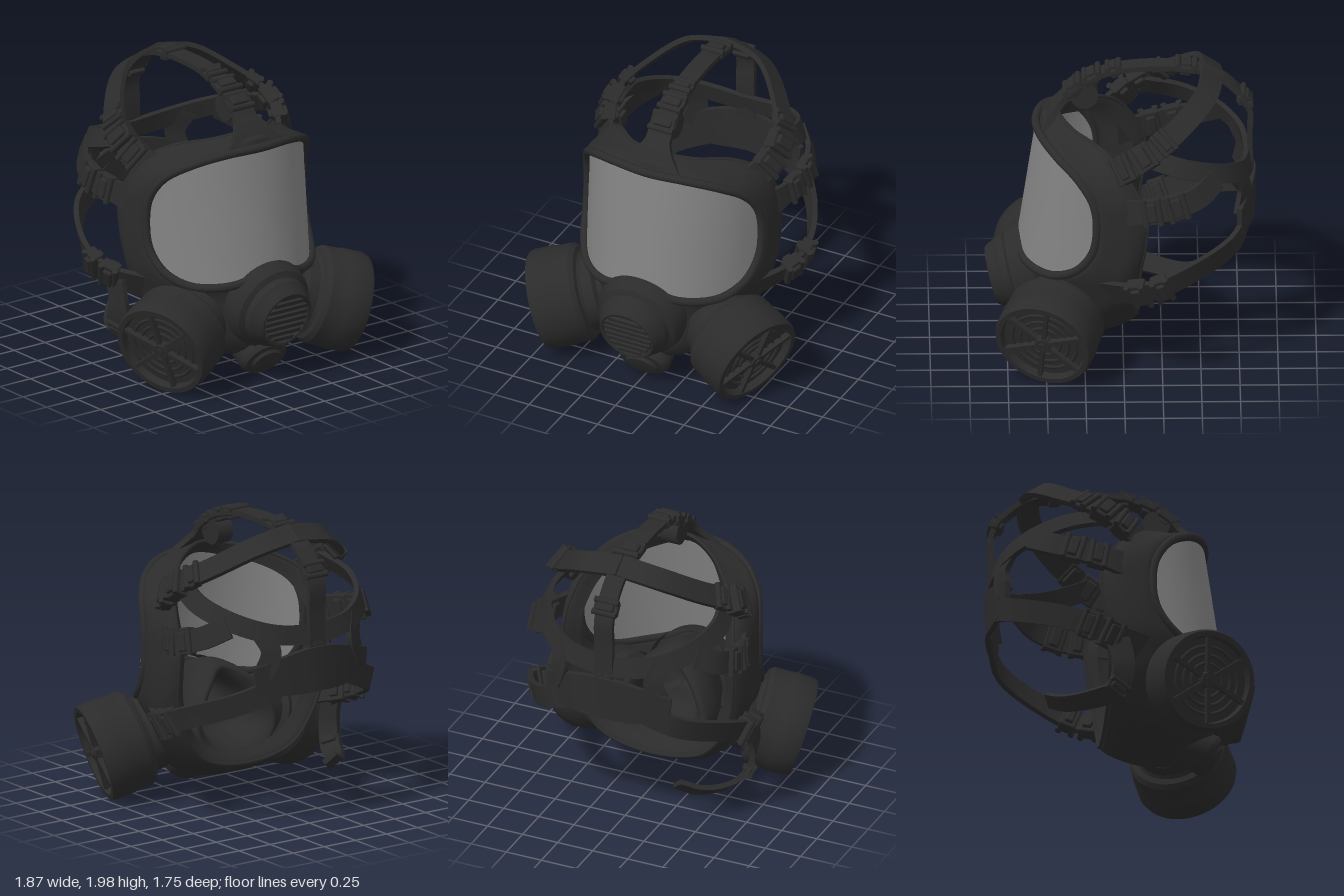
import * as THREE from 'three';
import { toCreasedNormals } from 'three/addons/utils/BufferGeometryUtils.js';
import { RoundedBoxGeometry } from 'three/addons/geometries/RoundedBoxGeometry.js';

const V = (x, y, z) => new THREE.Vector3(x, y, z);
const rubber = new THREE.MeshStandardMaterial({ color: 0x2b2b2b, side: THREE.DoubleSide });
rubber.name = 'black rubber';
const glass = new THREE.MeshStandardMaterial({ color: 0x828282, side: THREE.DoubleSide });
glass.name = 'grey lens';

function add(parent, name, geo, mat = rubber) {
  const mesh = new THREE.Mesh(geo, mat);
  mesh.name = name;
  parent.add(mesh);
  return mesh;
}

// Skin between closed rings that have equal point counts
function loft(rings, crease = 0.9) {
  const n = rings[0].length, index = [];
  for (let j = 0; j < rings.length - 1; j++) {
    for (let i = 0; i < n; i++) {
      const a = j * n + i, b = j * n + (i + 1) % n;
      index.push(a, a + n, b, b, a + n, b + n);
    }
  }
  const geo = new THREE.BufferGeometry().setFromPoints(rings.flat());
  geo.setIndex(index);
  return toCreasedNormals(geo, crease);
}

// Closed symmetric curve from its +x half, top centre to bottom centre
function mirrorLoop(half) {
  const other = half.slice(1, -1).reverse().map(p => V(-p.x, p.y, p.z));
  return new THREE.CatmullRomCurve3([...half, ...other], true);
}
const sample = (curve, n) => Array.from({ length: n }, (_, i) => curve.getPoint(i / n));

// Smooth skin through several symmetric loops
function skin(halves, n, steps) {
  const loops = halves.map(h => sample(mirrorLoop(h), n));
  const columns = loops[0].map((_, i) => new THREE.CatmullRomCurve3(loops.map(l => l[i])));
  return loft(Array.from({ length: steps + 1 }, (_, j) => columns.map(c => c.getPoint(j / steps))));
}

// Local axes on a strap, facing out from the head
function strapFrame(curve, u) {
  const p = curve.getPointAt(u), t = curve.getTangentAt(u);
  const out = V(p.x, (p.y - 1.1) * 0.7, p.z + 0.2);
  out.addScaledVector(t, -out.dot(t)).normalize();
  return { p, t, out, across: t.clone().cross(out) };
}

function strap(parent, name, pts, width, thick = 0.034) {
  const curve = new THREE.CatmullRomCurve3(pts.map(p => V(...p)));
  const w = typeof width === 'function' ? width : () => width;
  const rings = [], steps = 32;
  for (let i = 0; i <= steps; i++) {
    const u = i / steps, f = strapFrame(curve, u);
    const ring = [[1, 1], [-1, 1], [-1, -1], [1, -1]].map(([a, b]) => f.p.clone()
      .addScaledVector(f.across, a * w(u) / 2).addScaledVector(f.out, b * thick / 2));
    const cap = ring.map(() => f.p.clone());
    if (i === 0) rings.push(cap);
    rings.push(ring);
    if (i === steps) rings.push(cap);
  }
  add(parent, name, loft(rings, 0.6));
  return curve;
}

// Strap adjuster: plate, raised keeper and two cross bars
function buckle(parent, curve, u, w, len, depth = 0.05) {
  const g = new THREE.Group();
  g.name = 'buckle';
  add(g, 'bucklePlate', new RoundedBoxGeometry(w, len, depth, 2, 0.012));
  add(g, 'buckleKeeper', new RoundedBoxGeometry(w * 0.72, len * 0.5, depth + 0.05, 2, 0.012));
  for (const s of [-1, 1]) {
    const bar = add(g, 'buckleBar', new THREE.CylinderGeometry(0.02, 0.02, w, 12));
    bar.rotation.z = Math.PI / 2;
    bar.position.set(0, s * len * 0.4, depth * 0.5);
  }
  const f = strapFrame(curve, u);
  g.applyMatrix4(new THREE.Matrix4().makeBasis(f.across, f.t, f.out).setPosition(f.p));
  parent.add(g);
}

const lathe = (pts, seg = 48) =>
  toCreasedNormals(new THREE.LatheGeometry(pts.map(p => new THREE.Vector2(...p)), seg), 0.5);

// Curved lens surface, leaning forward at the bottom
const lensZ = (x, y, w = 0.64) =>
  (0.69 - 0.15 * (y - 0.72)) * Math.sqrt(Math.max(0, 1 - (x / w) ** 2));

function buildFacepiece(root) {
  const outline = [[0, 1.545], [0.25, 1.535], [0.43, 1.485], [0.555, 1.39], [0.605, 1.25], [0.615, 1.08],
    [0.608, 0.92], [0.57, 0.79], [0.48, 0.72], [0.33, 0.715], [0.2, 0.74], [0.1, 0.79], [0, 0.805]];
  const lensEdge = outline.map(([x, y]) => V(x, y, lensZ(x, y)));
  const grown = (kx, ky, w, dz) => outline.map(([x, y]) => {
    const X = x * kx, Y = 1.12 + (y - 1.12) * ky;
    return V(X, Y, lensZ(X, Y, w) + dz);
  });
  const middle = [[0, 1.62, 0.52], [0.25, 1.595, 0.44], [0.45, 1.525, 0.28], [0.59, 1.42, 0.11], [0.65, 1.27, 0.04],
    [0.66, 1.08, 0.03], [0.66, 0.9, 0.03], [0.64, 0.72, 0.08], [0.56, 0.55, 0.2], [0.45, 0.42, 0.36],
    [0.36, 0.33, 0.5], [0.22, 0.25, 0.58], [0, 0.2, 0.6]].map(p => V(...p));
  const cheek = [[0, 1.64, 0.47], [0.23, 1.605, 0.39], [0.43, 1.54, 0.21], [0.57, 1.45, 0.06], [0.63, 1.29, -0.03],
    [0.65, 1.1, -0.06], [0.65, 0.9, -0.06], [0.63, 0.73, -0.03], [0.58, 0.54, 0.05], [0.47, 0.36, 0.12],
    [0.36, 0.24, 0.18], [0.2, 0.16, 0.22], [0, 0.14, 0.24]].map(p => V(...p));
  const rim = [[0, 1.65, 0.42], [0.22, 1.61, 0.33], [0.4, 1.555, 0.15], [0.52, 1.46, 0.02], [0.58, 1.3, -0.09],
    [0.6, 1.15, -0.15], [0.6, 0.95, -0.14], [0.58, 0.78, -0.11], [0.54, 0.62, -0.1], [0.47, 0.48, -0.09],
    [0.36, 0.36, -0.09], [0.2, 0.3, -0.09], [0, 0.28, -0.09]].map(p => V(...p));
  const seal = rim.map(p => V(p.x * 0.85, 0.95 + (p.y - 0.95) * 0.87, p.z + 0.07));
  add(root, 'facepiece', skin([lensEdge, grown(1.06, 1.1, 0.68, -0.03), middle, cheek, rim, seal], 96, 30));
  add(root, 'sealBead', new THREE.TubeGeometry(mirrorLoop(rim), 120, 0.013, 8, true));
  add(root, 'lensFrame', new THREE.TubeGeometry(mirrorLoop(grown(1.032, 1.058, 0.66, 0)), 140, 0.028, 10, true));

  // Lens, as rings shrinking to the middle
  const edge = sample(mirrorLoop(lensEdge), 96);
  add(root, 'lens', loft([1, 0.93, 0.85, 0.7, 0.5, 0.3, 0.12, 0].map(k => edge.map(p => {
    const x = p.x * k, y = 1.12 + (p.y - 1.12) * k;
    return V(x, y, lensZ(x, y));
  }))), glass);

  // Inner cup over nose and mouth
  const cup = [[0, 0.86, 0.2], [0.14, 0.8, 0.12], [0.26, 0.66, 0.06], [0.31, 0.5, 0.04],
    [0.25, 0.37, 0.02], [0.12, 0.31, 0.02], [0, 0.3, 0.02]];
  const ring = (k, dz) => cup.map(([x, y, z]) => V(x * k, 0.56 + (y - 0.56) * k, z + dz));
  add(root, 'noseCup', skin([ring(0.8, 0.42), ring(1.1, 0.14), ring(1, 0), ring(0.8, 0.04), ring(0.5, 0.28), ring(0.02, 0.34)], 48, 24));
}

function buildVoicePort(root) {
  // Tilted slightly down, origin at the middle of the grille
  const port = new THREE.Group();
  port.name = 'voicePort';
  port.position.set(0, 0.475, 0.825);
  port.rotation.x = 0.25;
  root.add(port);
  add(port, 'voiceHousing', lathe([[0.3, -0.36], [0.3, -0.19], [0.28, -0.125], [0.245, -0.105], [0.24, -0.06],
    [0.22, -0.035], [0.208, 0.0], [0.19, 0.024], [0.175, 0.02], [0.168, -0.005], [0, -0.005]])).rotation.x = Math.PI / 2;
  for (let i = -3; i <= 3; i++) {
    const y = i * 0.044 - 0.015;
    const slat = add(port, 'voiceSlat', new THREE.BoxGeometry(2 * Math.sqrt(0.168 ** 2 - y * y), 0.026, 0.03));
    slat.position.set(0, y, 0.004);
  }
  // Outlet valve under the voice port
  const valve = add(root, 'outletValve', lathe([[0.13, -0.16], [0.135, 0.03], [0.12, 0.06], [0.09, 0.065],
    [0.08, 0.085], [0.05, 0.09], [0, 0.09]]));
  valve.scale.x = 1.3;
  valve.rotation.x = Math.PI / 2 + 0.5;
  valve.position.set(0, 0.165, 0.57);
}

function buildFilter(root, s) {
  const g = new THREE.Group();
  g.name = s > 0 ? 'leftFilter' : 'rightFilter';
  g.position.set(s * 0.79, 0.33, 0.53);
  g.quaternion.setFromUnitVectors(V(0, 1, 0), V(s * 0.88, -0.3, 0.33).normalize());
  root.add(g);
  add(g, 'canister', lathe([[0.2, -0.54], [0.21, -0.44], [0.25, -0.42], [0.25, -0.35], [0.265, -0.33], [0.3, -0.32],
    [0.322, -0.29], [0.325, -0.17], [0.33, -0.16], [0.33, -0.03], [0.318, 0], [0.285, 0], [0.275, -0.05], [0, -0.05]]));
  for (const r of [0.11, 0.165, 0.22]) {
    add(g, 'grilleRing', new THREE.TorusGeometry(r, 0.012, 6, 40).rotateX(Math.PI / 2)).position.y = -0.045;
  }
  for (let i = 0; i < 6; i++) {
    const a = i * Math.PI / 3 + 0.5;
    const spoke = add(g, 'grilleSpoke', new THREE.BoxGeometry(0.25, 0.04, 0.028));
    spoke.position.set(Math.cos(a) * 0.155, -0.025, -Math.sin(a) * 0.155);
    spoke.rotation.y = a;
  }
  add(g, 'grilleHub', new THREE.CylinderGeometry(0.055, 0.065, 0.06, 6)).position.y = -0.025;
  add(g, 'hubCap', new THREE.CylinderGeometry(0.025, 0.025, 0.02, 16)).position.y = 0.005;
}

function buildHarness(root) {
  const h = new THREE.Group();
  h.name = 'harness';
  root.add(h);
  // Forehead tab and centre strap over the crown
  strap(h, 'foreheadTab', [[0, 1.58, 0.5], [0, 1.66, 0.45], [0, 1.76, 0.37], [0, 1.86, 0.3]],
    u => 0.17 + 0.25 * Math.max(0, 1 - u * 1.8) ** 1.5, 0.04);
  const centre = strap(h, 'centreStrap', [[0, 1.78, 0.36], [0, 1.88, 0.22], [0, 1.94, 0.05], [0, 1.965, -0.2],
    [0, 1.94, -0.5], [0, 1.85, -0.68], [0, 1.66, -0.82], [0, 1.48, -0.82], [0, 1.2, -0.83]], 0.13);
  for (const [u, w, l] of [[0.03, 0.18, 0.13], [0.11, 0.17, 0.12], [0.19, 0.15, 0.09], [0.45, 0.16, 0.14], [0.7, 0.17, 0.1]]) {
    buckle(h, centre, u, w, l, 0.045);
  }
  const roll = add(h, 'strapRoll', new THREE.CylinderGeometry(0.09, 0.09, 0.12, 24));
  roll.rotation.z = Math.PI / 2;
  roll.position.set(0, 1.77, 0.25);
  // Plate behind the head
  strap(h, 'backPlate', [[-0.44, 1.05, -0.75], [-0.22, 1.07, -0.81], [0, 1.09, -0.84], [0.22, 1.07, -0.81], [0.44, 1.05, -0.75]],
    u => 0.18 + 0.12 * Math.sin(Math.PI * u), 0.036);

  for (const s of [1, -1]) {
    const side = pts => pts.map(([x, y, z]) => [s * x, y, z]);
    const flare = w => u => w * (1 + 0.3 * Math.max(0, 1 - u * 5));
    const upper = strap(h, 'upperStrap', side([[0.53, 1.41, 0.1], [0.6, 1.52, -0.04], [0.59, 1.63, -0.2],
      [0.47, 1.75, -0.38], [0.27, 1.88, -0.54], [0, 1.935, -0.58]]), flare(0.15));
    buckle(h, upper, 0.13, 0.19, 0.12, 0.08);
    buckle(h, upper, 0.25, 0.18, 0.14, 0.09);
    buckle(h, upper, 0.38, 0.17, 0.1);
    const mid = strap(h, 'middleStrap', side([[0.61, 1.2, 0.03], [0.66, 1.22, -0.1], [0.69, 1.26, -0.3],
      [0.65, 1.32, -0.48], [0.54, 1.4, -0.6]]), flare(0.15));
    buckle(h, mid, 0.32, 0.18, 0.12, 0.06);
    buckle(h, mid, 0.54, 0.18, 0.13, 0.06);
    strap(h, 'backStrap', side([[0.56, 1.57, -0.13], [0.6, 1.5, -0.38], [0.5, 1.42, -0.62], [0.3, 1.35, -0.77], [0, 1.31, -0.82]]), 0.13);
    // Edges of the openings in the back pad
    strap(h, 'padEdge', side([[0.38, 1.38, -0.72], [0.33, 1.24, -0.78], [0.38, 1.08, -0.76]]), 0.13);
    const lower = strap(h, 'lowerStrap', side([[0.58, 0.62, 0.12], [0.67, 0.65, -0.04], [0.73, 0.7, -0.2],
      [0.7, 0.78, -0.4], [0.48, 0.92, -0.72], [0.15, 1.06, -0.82]]), flare(0.15));
    buckle(h, lower, 0.19, 0.19, 0.13, 0.08);
    buckle(h, lower, 0.3, 0.18, 0.11, 0.08);
  }
  // Loose strap end hanging on one side
  const tail = strap(h, 'looseStrapEnd', [[-0.7, 0.64, -0.06], [-0.7, 0.44, -0.02], [-0.67, 0.29, -0.07],
    [-0.6, 0.25, -0.22], [-0.48, 0.27, -0.38], [-0.36, 0.34, -0.48]], u => 0.16 - 0.06 * u);
  buckle(h, tail, 0.38, 0.15, 0.08, 0.03);
}

export function createModel() {
  const root = new THREE.Group();
  root.name = 'respiratorMask';
  buildFacepiece(root);
  buildVoicePort(root);
  for (const s of [1, -1]) buildFilter(root, s);
  buildHarness(root);
  return root;
}
